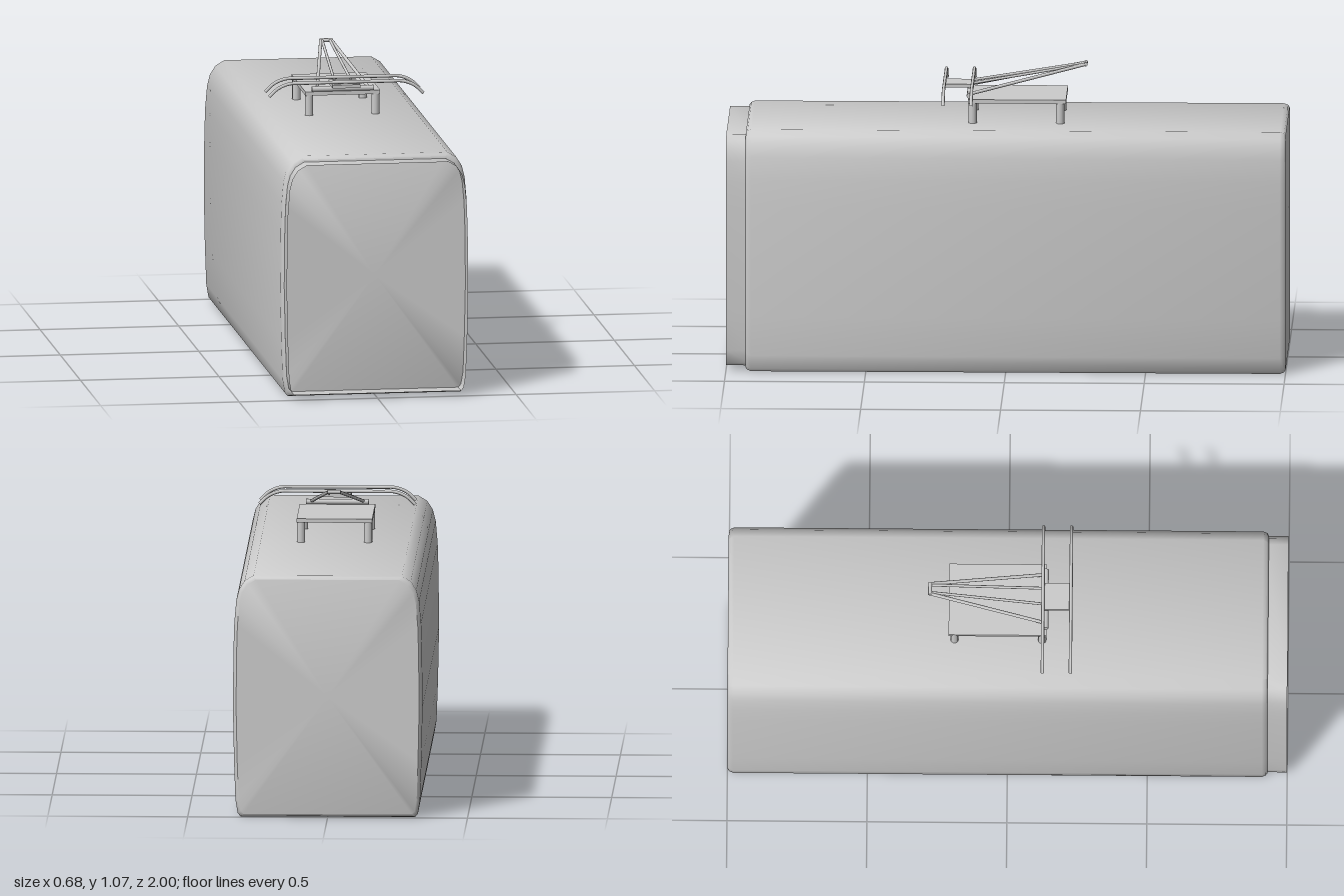
import * as THREE from 'three';
import { toCreasedNormals } from 'three/addons/utils/BufferGeometryUtils.js';

const paint = new THREE.MeshStandardMaterial({ color: 0xcccccc });
paint.name = 'plain grey';
const shellPaint = paint.clone();
shellPaint.side = THREE.DoubleSide;
shellPaint.name = 'plain grey shell';

// right half of the car's cross-section, from floor to roof
const half = [[0.312, 0], [0.322, 0.012], [0.33, 0.06], [0.335, 0.2], [0.339, 0.4], [0.337, 0.6],
  [0.334, 0.7], [0.327, 0.78], [0.317, 0.82], [0.297, 0.852], [0.265, 0.871]];
const ring = [...half, ...half.map(([x, y]) => [-x, y]).reverse()];
const MID = 0.4355;

// skin the cross-section along z; each section is [z, x scale, y scale]
function loft(sections, capped) {
  const n = ring.length, pos = [], index = [];
  for (const [z, sx, sy] of sections) {
    for (const [x, y] of ring) pos.push(x * sx, MID + (y - MID) * sy, z);
  }
  for (let i = 0; i < sections.length - 1; i++) {
    for (let j = 0; j < n; j++) {
      const k = (j + 1) % n;
      const a = i * n + j, b = i * n + k, c = b + n, d = a + n;
      index.push(a, b, c, a, c, d);
    }
  }
  if (capped) {
    const last = (sections.length - 1) * n, back = pos.length / 3;
    pos.push(0, MID, sections[0][0], 0, MID, sections[sections.length - 1][0]);
    for (let j = 0; j < n; j++) {
      const k = (j + 1) % n;
      index.push(back, k, j, back + 1, last + j, last + k);
    }
  }
  const g = new THREE.BufferGeometry();
  g.setAttribute('position', new THREE.Float32BufferAttribute(pos, 3));
  g.setIndex(index);
  return toCreasedNormals(g, 0.7);
}

export function createModel() {
  const model = new THREE.Group();
  model.name = 'railCar';
  const add = (name, geometry, parent = model, material = paint) => {
    const mesh = new THREE.Mesh(geometry, material);
    mesh.name = name;
    parent.add(mesh);
    return mesh;
  };
  const box = (name, parent, w, h, d, x, y, z) =>
    add(name, new THREE.BoxGeometry(w, h, d), parent).position.set(x, y, z);
  const rod = (name, parent, from, to, r) => {
    const a = new THREE.Vector3(...from), b = new THREE.Vector3(...to);
    const mesh = add(name, new THREE.CylinderGeometry(r, r, a.distanceTo(b), 10), parent);
    mesh.position.copy(a).add(b).multiplyScalar(0.5);
    mesh.quaternion.setFromUnitVectors(new THREE.Vector3(0, 1, 0), b.sub(a).normalize());
  };

  // car body with softened end edges
  add('carBody', loft([[-1, 0.965, 0.973], [-0.994, 0.985, 0.989], [-0.98, 1, 1],
    [0.91, 1, 1], [0.924, 0.985, 0.989], [0.93, 0.965, 0.973]], true));

  // open gangway hood at the front
  add('gangwayHood', loft([[0.915, 0.965, 0.956], [1, 0.965, 0.956]], false), model, shellPaint);

  // current collector on the roof
  const collector = new THREE.Group();
  collector.name = 'currentCollector';
  model.add(collector);
  box('basePlate', collector, 0.27, 0.014, 0.35, 0, 0.951, -0.036);
  for (const x of [-0.12, 0.12]) {
    for (const z of [0.123, -0.19]) rod('baseLeg', collector, [x, 0.865, z], [x, 0.946, z], 0.015);
  }
  rod('pivotBar', collector, [-0.112, 0.967, 0.135], [0.112, 0.967, 0.135], 0.01);
  rod('elbowBar', collector, [-0.023, 1.066, -0.278], [0.023, 1.066, -0.278], 0.007);
  for (const s of [-1, 1]) {
    rod('lowerArm', collector, [0.092 * s, 0.97, 0.135], [0.019 * s, 1.066, -0.278], 0.006);
    rod('upperArm', collector, [0.03 * s, 0.997, 0.13], [0.014 * s, 1.066, -0.278], 0.005);
  }

  // contact head: a small plate carrying two bowed strips
  box('headPlate', collector, 0.1, 0.012, 0.11, 0, 0.991, 0.176);
  const bow = [[0.278, 0.96], [0.248, 0.988], [0.206, 1.005], [0.15, 1.006]];
  const points = [...bow.map(([x, y]) => [-x, y]), ...bow.reverse()];
  for (const z of [0.125, 0.225]) {
    const path = new THREE.CatmullRomCurve3(points.map(([x, y]) => new THREE.Vector3(x, y, z)));
    add('contactStrip', new THREE.TubeGeometry(path, 40, 0.006, 8), collector);
  }
  return model;
}
